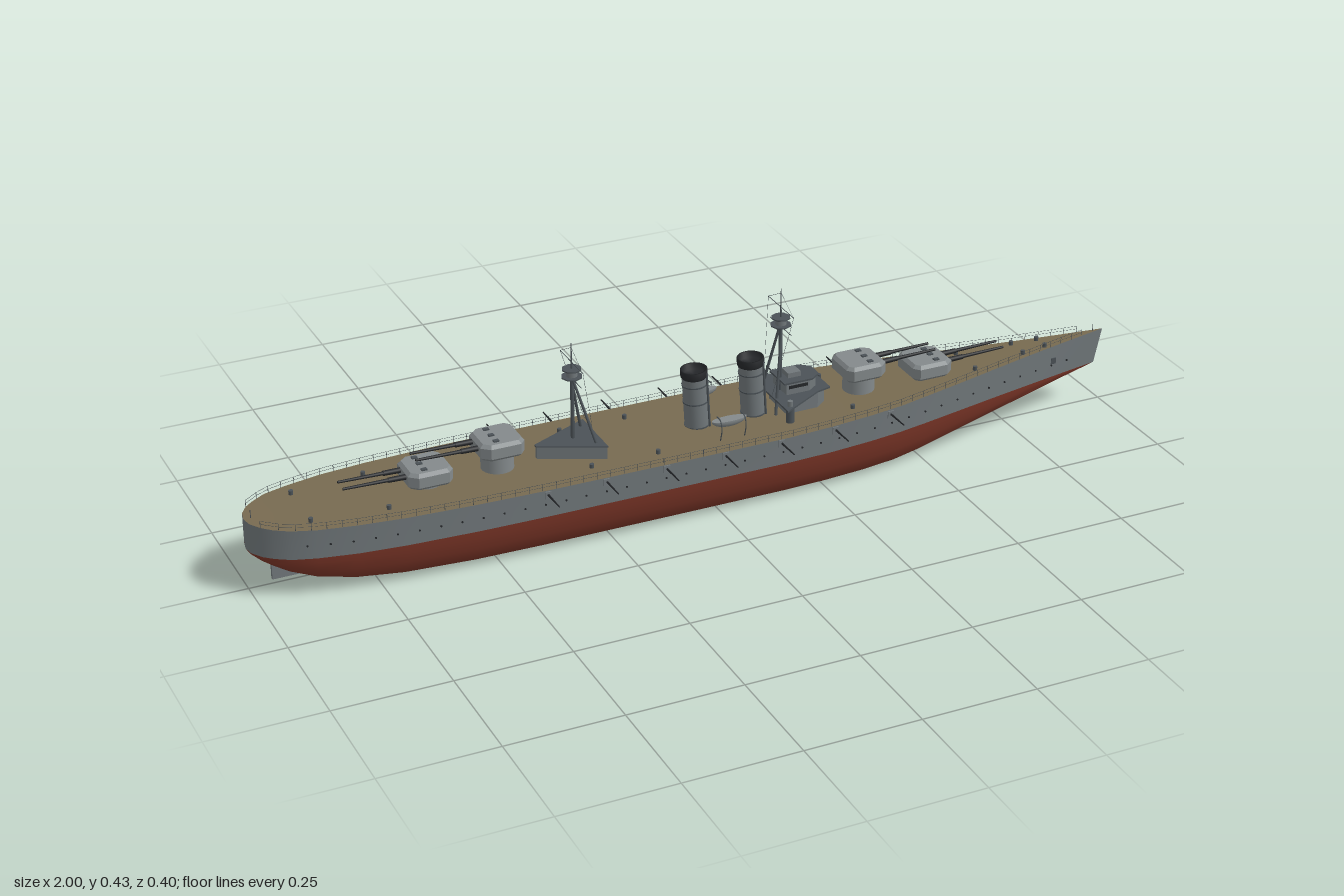
import * as THREE from 'three';
import { mergeGeometries, toCreasedNormals } from 'three/addons/utils/BufferGeometryUtils.js';

const paint = (name, color, side = THREE.FrontSide) => {
  const m = new THREE.MeshStandardMaterial({ color, side });
  m.name = name;
  return m;
};
const V = (x, y, z) => new THREE.Vector3(x, y, z);

// Hull stations: x, half beam, keel height, deck height
const STATIONS = [
  [-1, 0, 0.095, 0.162], [-0.995, 0.025, 0.09, 0.162], [-0.98, 0.048, 0.08, 0.162], [-0.96, 0.066, 0.069, 0.161],
  [-0.93, 0.085, 0.054, 0.161], [-0.88, 0.101, 0.035, 0.16], [-0.8, 0.117, 0.018, 0.16], [-0.7, 0.128, 0.008, 0.159],
  [-0.55, 0.136, 0.003, 0.158], [-0.4, 0.139, 0.002, 0.157], [-0.1, 0.14, 0.002, 0.156], [0.15, 0.14, 0.002, 0.156],
  [0.25, 0.136, 0.002, 0.157], [0.35, 0.127, 0.003, 0.158], [0.43, 0.116, 0.006, 0.159], [0.5, 0.102, 0.014, 0.161],
  [0.6, 0.08, 0.031, 0.163], [0.7, 0.058, 0.048, 0.166], [0.8, 0.037, 0.064, 0.169], [0.9, 0.018, 0.08, 0.172], [1, 0, 0.095, 0.175],
];
const WATER = 0.095;
const BILGE = [[1, 1], [0.985, 0.8], [0.93, 0.5], [0.85, 0.22], [0.76, 0.1], [0.56, 0.02], [0, 0]];

function at(x, k) {
  let i = 0;
  while (i < STATIONS.length - 2 && STATIONS[i + 1][0] < x) i++;
  const [a, b] = [STATIONS[i], STATIONS[i + 1]];
  return THREE.MathUtils.lerp(a[k], b[k], (x - a[0]) / (b[0] - a[0]));
}
const half = x => at(x, 1);
const deckY = x => at(x, 3);

// Skin over rows of points running toward the bow
function loft(rows, crease = 0.6) {
  const p = [];
  for (let i = 0; i < rows.length - 1; i++) {
    for (let j = 0; j < rows[i].length - 1; j++) {
      const a = rows[i][j], b = rows[i + 1][j], c = rows[i + 1][j + 1], d = rows[i][j + 1];
      for (const v of [a, d, b, b, d, c]) p.push(v.x, v.y, v.z);
    }
  }
  const g = new THREE.BufferGeometry();
  g.setAttribute('position', new THREE.Float32BufferAttribute(p, 3));
  return toCreasedNormals(g, crease);
}

// Straight round bar between two points
function rod(a, b, r, r2 = r, sides = 6) {
  const d = b.clone().sub(a);
  const g = new THREE.CylinderGeometry(r2, r, d.length(), sides);
  g.applyQuaternion(new THREE.Quaternion().setFromUnitVectors(V(0, 1, 0), d.normalize()));
  return g.translate((a.x + b.x) / 2, (a.y + b.y) / 2, (a.z + b.z) / 2);
}
const box = (w, h, d, x, y, z) => new THREE.BoxGeometry(w, h, d).translate(x, y, z);
const drum = (r, h, x, y, z, n = 20) => new THREE.CylinderGeometry(r, r, h, n).translate(x, y + h / 2, z);

// Flat outline in x and z, raised from y by height
function slab(outline, y, height, bevel = 0) {
  const s = new THREE.Shape(outline.map(([x, z]) => new THREE.Vector2(x, -z)));
  const g = new THREE.ExtrudeGeometry(s, {
    depth: height - bevel, bevelEnabled: bevel > 0, bevelThickness: bevel, bevelSize: bevel, bevelOffset: -bevel, bevelSegments: 1,
  });
  return g.rotateX(-Math.PI / 2).translate(0, y, 0);
}
const mirrored = side => [...side, ...side.map(([x, z]) => [x, -z]).reverse()];

export function createModel() {
  const ship = new THREE.Group();
  ship.name = 'battleship';
  const hullGrey = paint('hullGrey', 0x70777a), red = paint('antifoulingRed', 0x7a3527), wood = paint('deckWood', 0x776a50);
  const light = paint('turretGrey', 0x83898b), dark = paint('darkGrey', 0x4b5257), black = paint('black', 0x25272a);
  const add = (name, geo, mat, parent = ship) => {
    const list = [].concat(geo).map(g => (g.index ? g.toNonIndexed() : g));
    const m = new THREE.Mesh(list.length > 1 ? mergeGeometries(list) : list[0], mat);
    m.name = name;
    parent.add(m);
    return m;
  };

  // Hull skins, with the stem raked back toward the waterline
  const rake = (x, y) => x - 0.018 * Math.max(0, (x - 0.8) / 0.2) * Math.min(1, (0.175 - y) / 0.08);
  const ring = s => BILGE.map(([w, h]) => [s[1] * 0.985 * w, s[2] + (WATER - s[2]) * h]);
  add('lowerHull', loft(STATIONS.map(s => {
    const r = ring(s), x = rake(s[0], WATER);
    return [...r.map(([z, y]) => V(x, y, z)), ...r.slice(0, -1).reverse().map(([z, y]) => V(x, y, -z))];
  })), red);
  for (const side of [1, -1]) {
    add('hullSide', loft(STATIONS.map(s => {
      const r = [V(rake(s[0], s[3]), s[3], side * s[1]), V(rake(s[0], WATER), WATER, side * s[1] * 0.985)];
      return side > 0 ? r : r.reverse();
    })), hullGrey);
  }
  add('deck', loft(STATIONS.map(s => [-1, 0, 1].map(k => V(s[0], s[3], k * s[1])))), wood);
  add('rudder', box(0.07, 0.055, 0.008, -0.915, 0.04, 0), hullGrey);

  // Portholes, anchors, side guns, railings and deck fittings
  const holes = [], guns = [], mounts = [], rails = [], fittings = [];
  for (const s of [1, -1]) {
    for (let x = -0.9; x < 0.93; x += 0.045) {
      const z = s * half(x) * 0.992;
      holes.push(rod(V(x, 0.125, z - 0.002), V(x, 0.125, z + 0.002), 0.0022));
    }
    fittings.push(box(0.012, 0.014, 0.004, 0.86, 0.135, s * half(0.86)));
    for (const x of [-0.4, -0.27, -0.135, 0, 0.13, 0.26, 0.4]) {
      const z = half(x);
      mounts.push(box(0.014, 0.016, 0.012, x, 0.147, s * (z - 0.003)));
      guns.push(rod(V(x, 0.148, s * z), V(x, 0.149, s * (z + 0.06)), 0.0024, 0.0014));
    }
    let last = null;
    for (let x = -0.98; x < 0.97; x += 0.03) {
      const foot = V(x, deckY(x), s * half(x) * 0.985), top = foot.clone().setY(foot.y + 0.015);
      rails.push(rod(foot, top, 0.0006, 0.0006, 4));
      if (last) for (const drop of [0, 0.007]) {
        rails.push(rod(last.clone().setY(last.y - drop), top.clone().setY(top.y - drop), 0.0004, 0.0004, 4));
      }
      last = top;
    }
    for (const x of [-0.88, -0.72, -0.28, -0.13, 0.33, 0.65, 0.78, 0.84]) {
      fittings.push(drum(0.005, 0.009, x, deckY(x), s * half(x) * 0.62, 8));
    }
  }
  add('portholes', holes, black);
  add('sideGunMounts', mounts, hullGrey);
  add('sideGuns', guns, black);
  add('railings', rails, dark);
  add('deckFittings', fittings, dark);

  // Twin-gun turrets, lower and raised, facing either end
  const turretPlan = mirrored([[-0.048, 0.034], [-0.036, 0.048], [0.03, 0.048], [0.048, 0.032]]);
  for (const [x, y, dir, reach] of [[0.548, 0.172, 1, 0.187], [0.385, 0.202, 1, 0.178], [-0.455, 0.202, -1, 0.183], [-0.613, 0.172, -1, 0.182]]) {
    const t = new THREE.Group();
    t.name = 'gunTurret';
    t.position.set(x, 0, 0);
    t.rotation.y = dir > 0 ? 0 : Math.PI;
    add('barbette', drum(0.035, y - 0.15, 0, 0.152, 0, 28), light, t);
    add('gunHouse', slab(turretPlan, y, 0.03, 0.007), light, t);
    add('gunBarrels', [1, -1].flatMap(s => [
      rod(V(0.03, y + 0.016, s * 0.016), V(reach, y + 0.019, s * 0.016), 0.0048, 0.0028, 10),
      rod(V(0.04, y + 0.016, s * 0.016), V(0.085, y + 0.017, s * 0.016), 0.0062, 0.0055, 10)]), black, t);
    add('sightHoods', [1, 0, -1].map(s => box(0.012, 0.004, 0.009, 0.012, y + 0.031, s * 0.028)), dark, t);
    ship.add(t);
  }

  // Raked funnels
  for (const x of [0, 0.132]) {
    const f = new THREE.Group();
    f.name = 'funnel';
    f.position.set(x, 0.152, 0);
    f.rotation.z = 0.06;
    add('funnelCasing', drum(0.0265, 0.122, 0, 0, 0, 28), hullGrey, f);
    add('funnelBands', [0.004, 0.06, 0.1].map(y => drum(0.028, 0.003, 0, y, 0, 28)), dark, f);
    add('funnelCap', new THREE.LatheGeometry(
      [[0.027, 0.118], [0.029, 0.121], [0.029, 0.136], [0.025, 0.136], [0.023, 0.123], [0, 0.123]].map(([r, y]) => new THREE.Vector2(r, y)), 28), black, f);
    add('steamPipe', [1, -1].map(s => rod(V(0.02, 0, s * 0.021), V(0.02, 0.128, s * 0.021), 0.0025)), dark, f);
    ship.add(f);
  }

  // Bridge: lower house, triangular wings on drums, upper house and conning tower
  add('bridgeBase', slab(mirrored([[0.19, 0.042], [0.265, 0.042], [0.29, 0.022]]), 0.153, 0.04), hullGrey);
  add('bridgeWings', slab(mirrored([[0.165, 0.1], [0.265, 0.042], [0.298, 0.034]]), 0.192, 0.004), dark);
  add('bridgeHouse', slab(mirrored([[0.195, 0.032], [0.25, 0.032], [0.272, 0.016]]), 0.196, 0.026), hullGrey);
  add('bridgeRoof', slab(mirrored([[0.188, 0.036], [0.255, 0.036], [0.278, 0.018]]), 0.222, 0.004), dark);
  add('bridgeWindows', [1, -1].map(s => box(0.045, 0.007, 0.002, 0.223, 0.213, s * 0.0325)), black);
  add('chartHouse', box(0.03, 0.012, 0.03, 0.222, 0.231, 0), hullGrey);
  add('wingSupports', [1, -1].map(s => drum(0.009, 0.038, 0.182, 0.155, s * 0.076, 12)), dark);
  add('searchlights', [1, -1].map(s => drum(0.006, 0.012, 0.18, 0.196, s * 0.08, 10)), hullGrey);

  // After deckhouse
  add('afterDeckhouse', slab(mirrored([[-0.368, 0.004], [-0.236, 0.066]]), 0.153, 0.031), hullGrey);
  add('afterDeckhouseRoof', slab(mirrored([[-0.37, 0.004], [-0.234, 0.068]]), 0.184, 0.003), dark);

  // Ship's boats in curved davits
  for (const s of [1, -1]) {
    const hull = new THREE.SphereGeometry(1, 20, 8, 0, Math.PI * 2, Math.PI / 2, Math.PI / 2);
    add('boatHull', hull.scale(0.04, 0.016, 0.013).translate(0.04, 0.193, s * 0.073), light);
    add('boatCover', new THREE.CylinderGeometry(1, 1, 1, 20).scale(0.04, 0.002, 0.013).translate(0.04, 0.193, s * 0.073), light);
    add('davits', [0.012, 0.068].map(x => new THREE.TubeGeometry(new THREE.CatmullRomCurve3(
      [V(x, 0.155, s * 0.09), V(x, 0.185, s * 0.097), V(x, 0.202, s * 0.09), V(x, 0.204, s * 0.073)]), 10, 0.0014, 6)), dark);
  }

  // Tripod masts with spotting tops, yards and rigging
  for (const [x, top, spot, legX, foot] of [[0.195, 0.433, 0.35, -0.03, 0.16], [-0.285, 0.405, 0.33, 0.035, 0.185]]) {
    const m = new THREE.Group();
    m.name = 'tripodMast';
    const head = V(x, spot, 0), yards = [[top - 0.043, 0.06], [spot - 0.005, 0.05]];
    add('mastPole', [rod(V(x, foot, 0), head, 0.005, 0.004, 8), rod(head, V(x, top, 0), 0.0026, 0.0008, 8)], dark, m);
    add('mastLegs', [1, -1].map(s => rod(V(x + legX, foot, s * 0.042), V(x, spot - 0.005, s * 0.004), 0.0035, 0.0028, 8)), dark, m);
    add('spottingTop', drum(0.012, 0.016, x, spot, 0, 12), hullGrey, m);
    add('topPlatforms', [drum(0.023, 0.0025, x, spot - 0.002, 0, 8), drum(0.021, 0.0025, x, spot + 0.015, 0, 8)], dark, m);
    add('yards', yards.map(([y, r]) => rod(V(x, y, -r), V(x, y, r), 0.0008)), dark, m);
    add('rigging', [1, -1].flatMap(s => [
      rod(V(x, yards[0][0], s * 0.06), V(x + legX, foot + 0.03, s * 0.02), 0.0004, 0.0004, 4),
      rod(V(x, yards[0][0], s * 0.06), V(x, top - 0.01, 0), 0.0004, 0.0004, 4)]), dark, m);
    ship.add(m);
  }
  // Flagstaffs at bow and stern
  add('flagstaffs', [rod(V(0.975, 0.172, 0), V(0.975, 0.19, 0), 0.0008), rod(V(-0.985, 0.16, 0), V(-0.985, 0.18, 0), 0.0008)], dark);
  return ship;
}
